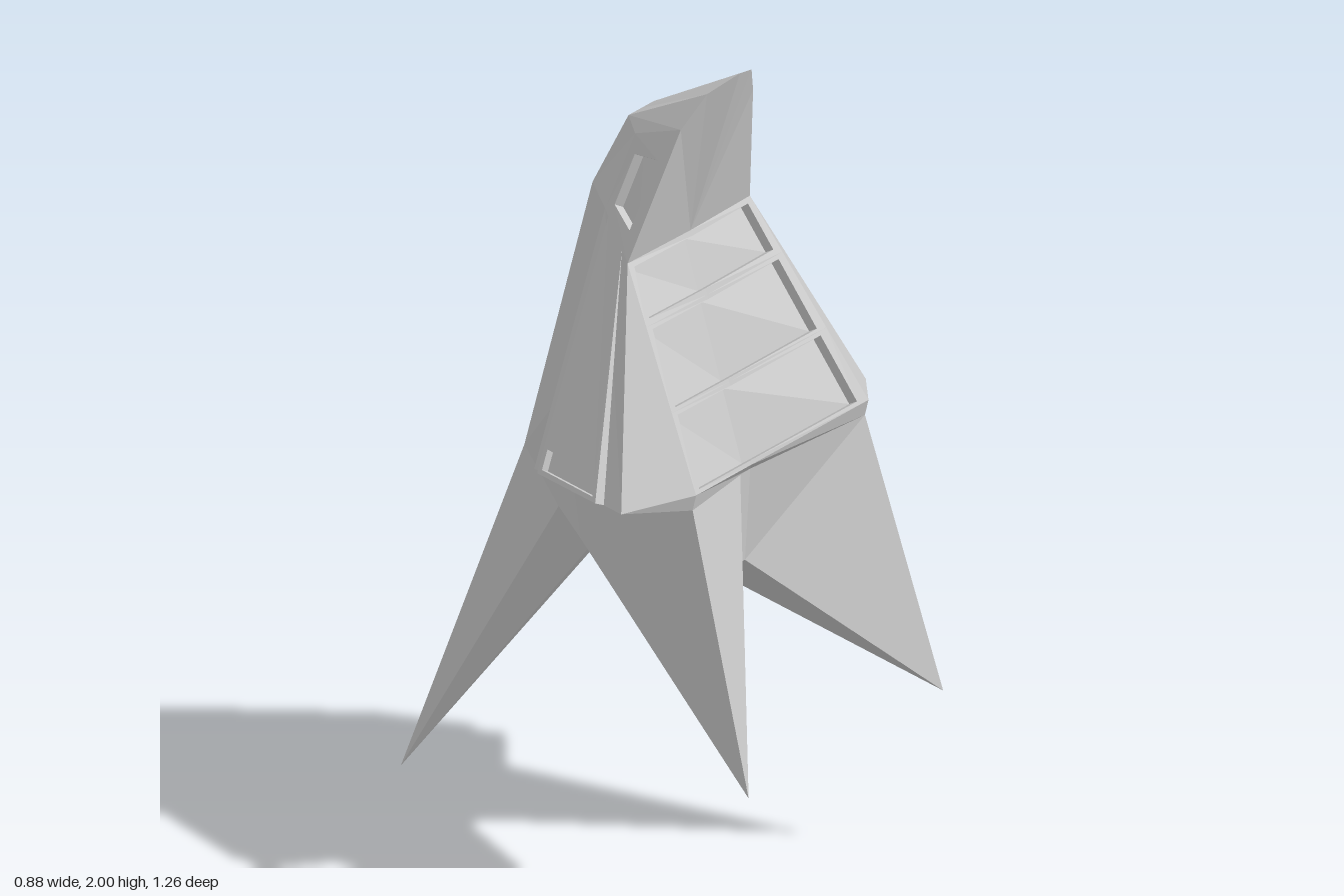
import * as THREE from 'three';

const mat = new THREE.MeshStandardMaterial({ color: 0xcccccc, flatShading: true, side: THREE.DoubleSide });
const mirror = ([x, y, z]) => [-x, y, z];
const lerp = (a, b, t) => a.map((v, i) => v + (b[i] - v) * t);

// Flat-faced mesh from convex polygons; each one is repeated on the other side
function part(name, faces) {
  const pos = [];
  const fan = f => {
    for (let i = 1; i < f.length - 1; i++) pos.push(...f[0], ...f[i], ...f[i + 1]);
  };
  for (const f of faces) {
    fan(f);
    fan(f.map(mirror).reverse());
  }
  const g = new THREE.BufferGeometry();
  g.setAttribute('position', new THREE.Float32BufferAttribute(pos, 3));
  g.computeVertexNormals();
  const m = new THREE.Mesh(g, mat);
  m.name = name;
  return m;
}

// Polygon that spans the centre line, joining two points to their mirror images
const bridge = (a, b) => [[0, a[1], a[2]], a, b, [0, b[1], b[2]]];

// Quad a-b-c-d (u along a-b, v along a-d) with a sunken panel; u0 = 0 leaves that side open
function recess([a, b, c, d], u0, u1, v0, v1, offset) {
  const at = (u, v) => lerp(lerp(a, b, u), lerp(d, c, u), v);
  const outer = [a, b, c, d];
  const inner = [at(u0, v0), at(u1, v0), at(u1, v1), at(u0, v1)];
  const floor = inner.map(p => p.map((v, i) => v + offset[i]));
  const faces = [floor];
  for (let i = 0; i < 4; i++) {
    if (i === 3 && u0 === 0) continue;
    const j = (i + 1) % 4;
    faces.push([outer[i], outer[j], inner[j], inner[i]], [inner[i], inner[j], floor[j], floor[i]]);
  }
  return faces;
}

export function createModel() {
  const group = new THREE.Group();

  // Shared corners of the left half
  const neckFront = [0.22, 1.57, 0.185], neckSide = [0.11, 1.62, 0.035], neckBack = [0.022, 1.62, -0.07];
  const chestTop = [0, 1.57, 0.19], chestLow = [0, 1.04, 0.36], chestCorner = [0.31, 1.11, 0.45];
  const legTop = [0.31, 1.07, 0.44], hem = [0.018, 1.02, 0.345];
  const legTip = [0.35, 0.43, 0.63], crotch = [0.018, 0.79, 0.33];
  const waistSide = [0.15, 1.03, -0.01], waistBack = [0.055, 1.09, -0.13], spine = [0, 0.9, -0.28];
  const hipSide = [0.14, 0.8, -0.01], hipBack = [0.055, 0.81, -0.14], finRoot = [0.018, 0.78, -0.03];
  const finTip = [0, 0, -0.63];
  const flapFront = [0.44, 1.08, 0.34], flapBack = [0.295, 1.03, -0.02];

  // Head: bent face plate, crown, sides with sunken eyes, back of the head
  const tip = [0, 2, 0.33], brow = [0.08, 1.97, 0.3], temple = [0.13, 1.89, 0.265];
  const crown = [0.045, 1.83, 0.05], crownSide = [0.085, 1.815, 0.1];
  group.add(part('facePlate', [
    [chestTop, neckFront, temple], [chestTop, temple, brow], [chestTop, brow, tip],
  ]));
  group.add(part('crown', [
    [tip, brow, crown, [0, 1.83, 0.05]], [brow, temple, crownSide, crown],
  ]));
  group.add(part('headSides',
    recess([temple, crownSide, neckSide, neckFront], 0.25, 0.82, 0.25, 0.84, [-0.018, -0.01, 0.01])));
  group.add(part('headBack', [
    bridge(crown, neckBack), [crown, crownSide, neckSide, neckBack],
  ]));

  // Chest: three sunken, slightly V-shaped bands
  const chestFaces = [];
  const bands = [[0, 0.275, 0.09, 0.9], [0.275, 0.645, 0.05, 0.96], [0.645, 1, 0.05, 0.95]];
  for (const [t0, t1, v0, v1] of bands) {
    const quad = [lerp(chestTop, chestLow, t0), lerp(neckFront, chestCorner, t0),
      lerp(neckFront, chestCorner, t1), lerp(chestTop, chestLow, t1)];
    chestFaces.push(...recess(quad, 0, 0.92, v0, v1, [0, -0.013, -0.022]));
  }
  chestFaces.push([chestLow, chestCorner, legTop, hem, [0, hem[1], hem[2]]]);
  group.add(part('chest', chestFaces));

  // Shoulder flaps standing out from the body
  group.add(part('shoulderFlaps', [
    [neckFront, chestCorner, flapFront],
    [neckFront, flapFront, flapBack, neckSide],
    [neckSide, flapBack, waistSide],
    [legTop, chestCorner, flapFront],
    [legTop, flapFront, flapBack, waistSide],
  ]));

  // Raised wedge panels on the flaps
  const p0 = lerp(neckFront, neckSide, 0.25), p1 = lerp(neckFront, neckSide, 0.85);
  const b0 = lerp(flapFront, flapBack, 0.2), b1 = lerp(flapFront, flapBack, 0.87);
  const o0 = [0.432, 1.08, 0.26], o1 = [0.342, 1.05, 0.025];
  group.add(part('flapPanels', [
    ...recess([p0, p1, o1, o0], 0.06, 0.94, 0.9, 0.98, [-0.015, -0.008, 0.005]),
    [p0, b0, o0], [p1, b1, o1], [b0, b1, o1, o0],
  ]));

  // Back of the body, narrowing into the spine
  group.add(part('back', [
    [[0, 1.62, -0.07], neckBack, spine],
    [neckBack, waistBack, spine],
    [neckBack, neckSide, waistSide, waistBack],
  ]));

  // Front legs: outer, inner and under sides
  group.add(part('frontLegs', [
    [legTop, legTip, hipSide, waistSide],
    [waistSide, hipSide, hipBack, waistBack],
    [legTop, hem, crotch, legTip],
    [legTip, crotch, finRoot, hipSide],
    [finRoot, hipBack, hipSide],
    bridge(hem, crotch), bridge(crotch, finRoot),
  ]));

  // Rear fin running down to a point
  group.add(part('rearFin', [
    [waistBack, hipBack, spine], [hipBack, finTip, spine],
    [hipBack, finRoot, finTip], [[0, finRoot[1], finRoot[2]], finRoot, finTip],
  ]));

  return group;
}
